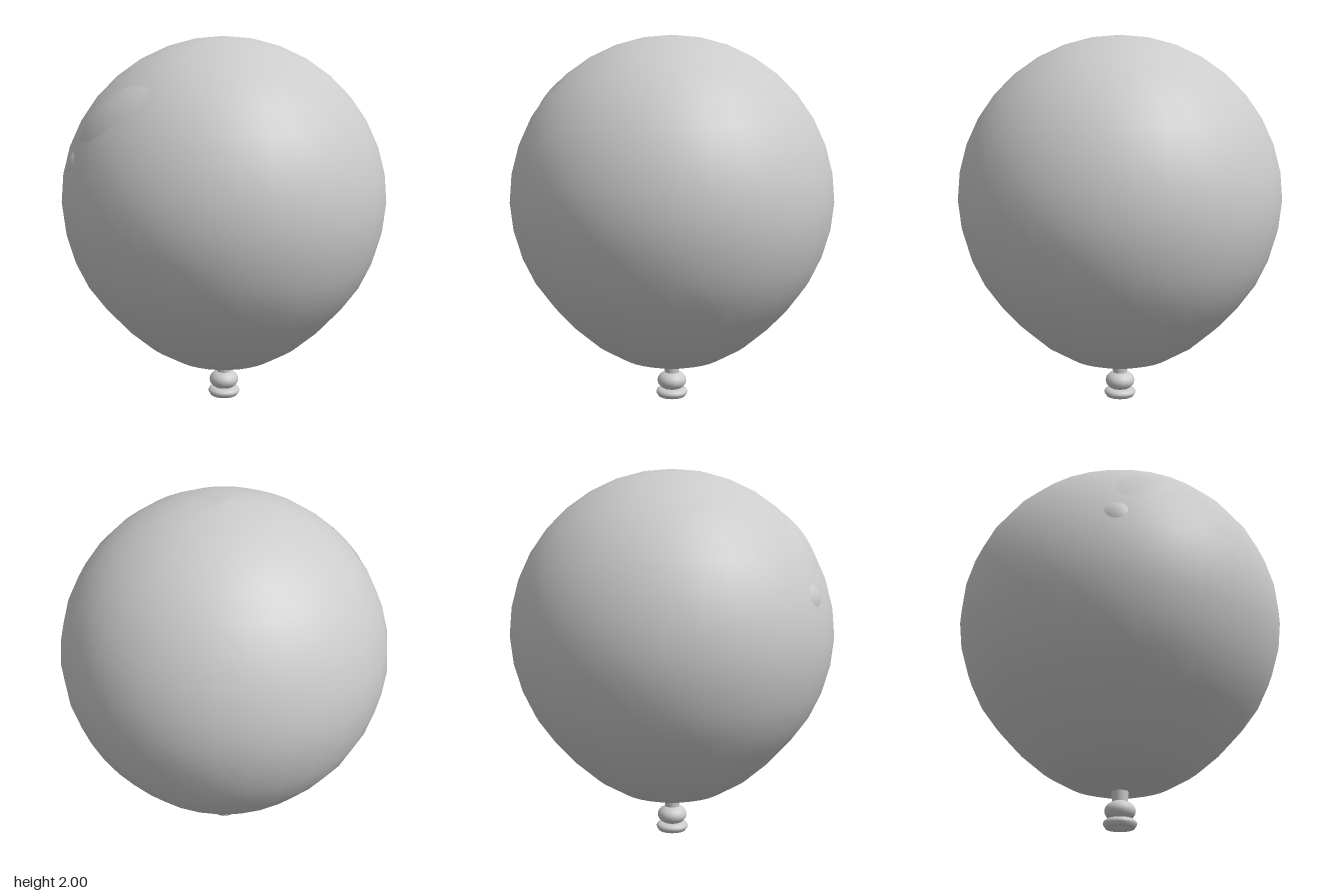
import * as THREE from 'three';

const material = new THREE.MeshStandardMaterial({ color: 0xcccccc });
const thinMaterial = new THREE.MeshStandardMaterial({ color: 0xcccccc, side: THREE.DoubleSide });

const CENTRE_Y = 1.12, RADIUS = 0.877, RISE = 0.88;

function addMesh(group, name, geometry, mat = material) {
  const mesh = new THREE.Mesh(geometry, mat);
  mesh.name = name;
  group.add(mesh);
  return mesh;
}

// Profiles run from the bottom to the top
function lathe(points, segments) {
  return new THREE.LatheGeometry(points.map(([r, y]) => new THREE.Vector2(r, y)), segments);
}

// Shallow oval dome that follows the upper balloon skin
function skinPatch(direction, along, halfLength, halfWidth) {
  const n = new THREE.Vector3(...direction).normalize();
  const u = new THREE.Vector3(...along).projectOnPlane(n).normalize();
  const v = n.clone().cross(u);
  const geometry = new THREE.RingGeometry(0, 1, 40, 8);
  const pos = geometry.attributes.position;
  const p = new THREE.Vector3();
  for (let i = 0; i < pos.count; i++) {
    const x = pos.getX(i), y = pos.getY(i);
    const lift = 0.008 - 0.01 * (x * x + y * y);
    p.copy(n).multiplyScalar(RADIUS)
      .addScaledVector(u, x * halfLength)
      .addScaledVector(v, y * halfWidth)
      .setLength(RADIUS + lift);
    pos.setXYZ(i, p.x, CENTRE_Y + p.y * RISE / RADIUS, p.z);
  }
  geometry.computeVertexNormals();
  return geometry;
}

export function createModel() {
  const group = new THREE.Group();
  group.name = 'balloon';

  // Inflated body: tapered lower half, round upper half
  const profile = [
    [0, 0.19], [0.143, 0.198], [0.285, 0.244], [0.424, 0.326], [0.555, 0.44],
    [0.66, 0.556], [0.75, 0.68], [0.815, 0.816], [0.86, 0.97],
  ];
  for (let i = 9; i >= 0; i--) {
    const a = (i * Math.PI) / 18;
    profile.push([RADIUS * Math.sin(a), CENTRE_Y + RISE * Math.cos(a)]);
  }
  addMesh(group, 'body', lathe(profile, 32));

  // Raised shine patches
  addMesh(group, 'largeHighlight', skinPatch([-0.42, 0.51, 0.56], [0.2, 0.125, 0.04], 0.255, 0.125), thinMaterial);
  addMesh(group, 'smallHighlight', skinPatch([-0.67, 0.245, 0.52], [0, 1, 0], 0.056, 0.058), thinMaterial);

  // Neck, knot and rolled lip
  const neck = addMesh(group, 'neck', new THREE.CylinderGeometry(0.05, 0.038, 0.12, 24));
  neck.position.y = 0.18;

  const knot = addMesh(group, 'knot', new THREE.SphereGeometry(0.081, 24, 16));
  knot.scale.y = 0.68;
  knot.position.y = 0.092;

  addMesh(group, 'lip', lathe([
    [0, 0.03], [0.02, 0.029], [0.034, 0.018], [0.045, 0.006], [0.06, 0.0], [0.076, 0.003],
    [0.081, 0.012], [0.087, 0.02], [0.088, 0.028], [0.083, 0.038], [0.07, 0.046], [0.045, 0.05], [0, 0.05],
  ], 32));

  return group;
}
